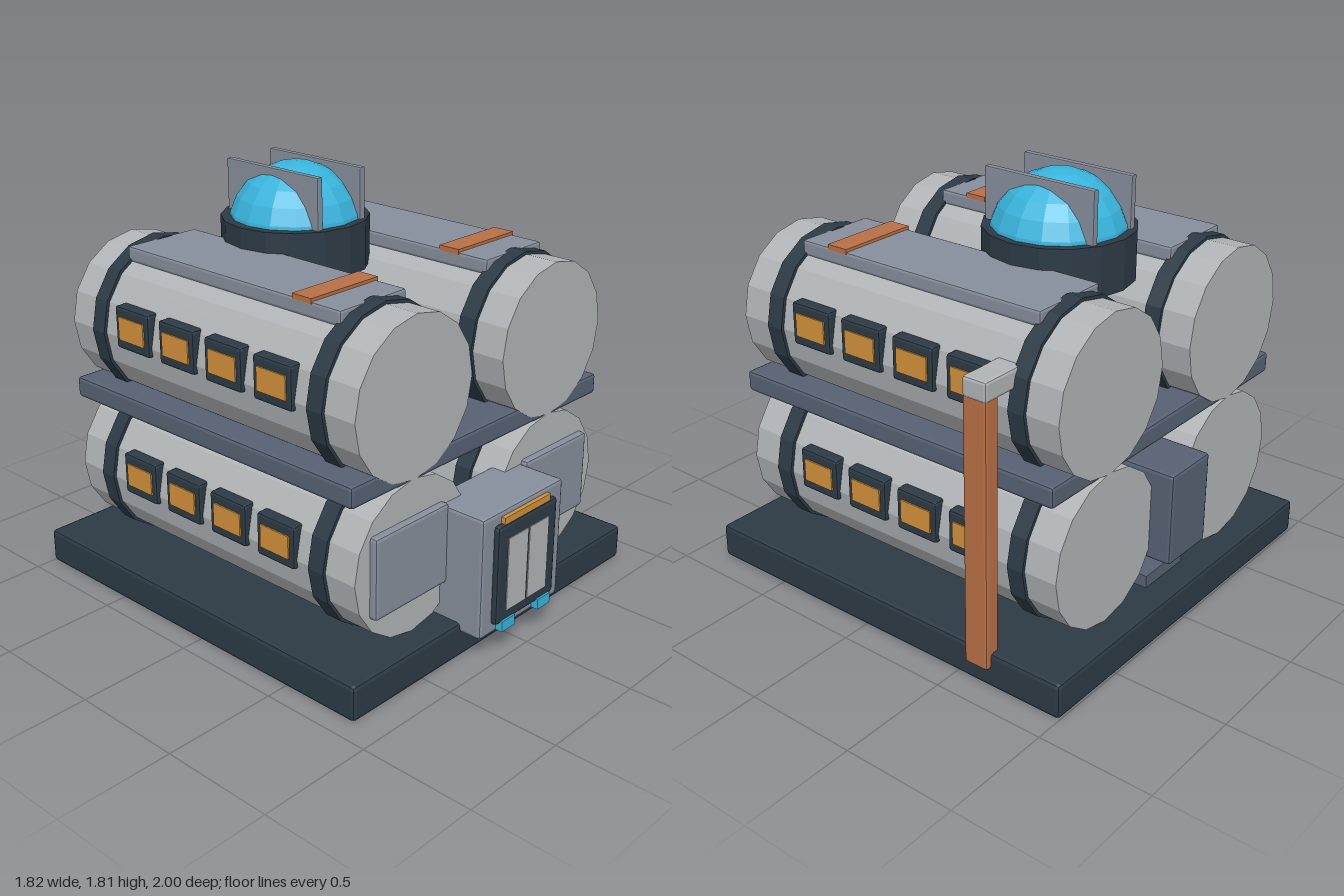
import * as THREE from 'three';
import { RoundedBoxGeometry } from 'three/addons/geometries/RoundedBoxGeometry.js';

const paint = (name, color) => {
  const m = new THREE.MeshStandardMaterial({ color, flatShading: true });
  m.name = name;
  return m;
};

export function createModel() {
  const model = new THREE.Group();
  model.name = 'habitat';
  const lightGrey = paint('lightGrey', 0xb0b4b6);
  const panelGrey = paint('panelGrey', 0x858e9b);
  const slate = paint('slate', 0x566172);
  const dark = paint('darkSteel', 0x2c3a45);
  const copper = paint('copper', 0xb87045);
  const amber = paint('amber', 0xd0903a);
  const cyan = paint('cyan', 0x38b4dc);

  const add = (name, geometry, material, x, y, z) => {
    const mesh = new THREE.Mesh(geometry, material);
    mesh.name = name;
    mesh.position.set(x, y, z);
    model.add(mesh);
    return mesh;
  };
  // Box given by its limits on each axis, with an optional bevel
  const box = (name, material, [x0, x1], [y0, y1], [z0, z1], bevel = 0) => {
    const s = [x1 - x0, y1 - y0, z1 - z0];
    const g = bevel ? new RoundedBoxGeometry(...s, 1, bevel) : new THREE.BoxGeometry(...s);
    return add(name, g, material, (x0 + x1) / 2, (y0 + y1) / 2, (z0 + z1) / 2);
  };
  // Sixteen-sided drum lying along z
  const drum = (name, material, r, x, y, z0, z1) => {
    const g = new THREE.CylinderGeometry(r, r, z1 - z0, 16).rotateX(Math.PI / 2);
    add(name, g, material, x, y, (z0 + z1) / 2);
  };

  const cx = -0.016; // centre line of the building

  // Base and the floor between the storeys
  box('base', dark, [-0.91, 0.88], [0, 0.155], [-1, 0.867], 0.018);
  box('middleDeck', slate, [-0.8, 0.768], [0.813, 0.905], [-0.872, 0.755], 0.015);
  box('floorStrip', slate, [-0.15, 0.12], [0.14, 0.21], [-0.88, 0.72]);

  // Four living modules with bands, roof panels and windows
  for (const y of [0.49, 1.155]) {
    for (const side of [-1, 1]) {
      const x = cx + side * 0.434;
      drum('moduleHull', lightGrey, 0.336, x, y, -0.883, 0.757);
      drum('frontBand', dark, 0.35, x, y, 0.525, 0.605);
      drum('backBand', dark, 0.35, x, y, -0.735, -0.66);
      box('roofPanel', panelGrey, [x - 0.185, x + 0.185], [y + 0.275, y + 0.342], [-0.68, 0.545], 0.012);
      for (let i = 0; i < 4; i++) {
        const z = 0.348 - i * 0.273;
        add('windowFrame', new RoundedBoxGeometry(0.075, 0.185, 0.208, 1, 0.012), dark,
          x + side * 0.314, y + 0.053, z);
        add('windowGlass', new THREE.BoxGeometry(0.008, 0.1, 0.155), amber,
          x + side * 0.354, y + 0.053, z);
      }
      if (y > 1) box('roofStripe', copper, [x - 0.186, x + 0.186], [1.487, 1.51], [0.295, 0.397]);
    }
  }

  // Observation dome with two fins
  add('domeRing', new THREE.CylinderGeometry(0.32, 0.32, 0.215, 16), dark, cx - 0.004, 1.478, -0.3);
  add('dome', new THREE.SphereGeometry(0.29, 16, 6, 0, Math.PI * 2, 0, Math.PI / 2), cyan, cx, 1.525, -0.3);
  for (const side of [-1, 1]) {
    const x = cx + side * 0.128;
    box('domeFin', panelGrey, [x - 0.015, x + 0.015], [1.57, 1.808], [-0.57, -0.03], 0.005);
  }

  // Hub through the middle deck with a lower globe
  add('hubRing', new THREE.CylinderGeometry(0.205, 0.205, 0.165, 16), dark, cx, 0.852, -0.45);
  add('hubCap', new THREE.CylinderGeometry(0.17, 0.17, 0.07, 16), lightGrey, cx, 0.967, -0.45);
  add('hubGlobe', new THREE.SphereGeometry(0.16, 12, 8), cyan, cx, 0.71, -0.45);

  // Entrance block with wings and double door
  box('entrance', panelGrey, [-0.28, 0.245], [0.115, 0.65], [0.68, 0.967], 0.015);
  for (const side of [-1, 1]) {
    const mid = cx + side * 0.47;
    box('entranceWing', panelGrey, [mid - 0.215, mid + 0.215], [0.313, 0.667], [0.7, 0.79], 0.015);
    const door = cx + side * 0.069;
    box('doorLeaf', lightGrey, [door - 0.064, door + 0.064], [0.21, 0.535], [0.991, 0.996]);
    const lamp = cx + side * 0.12;
    box('stepLight', cyan, [lamp - 0.042, lamp + 0.042], [0.125, 0.172], [0.96, 1]);
  }
  box('doorFrame', dark, [-0.21, 0.178], [0.16, 0.6], [0.94, 0.992], 0.015);
  box('doorSign', amber, [-0.167, 0.135], [0.597, 0.627], [0.95, 0.985]);

  // Service box at the back
  box('serviceBox', slate, [-0.152, 0.12], [0.3, 0.712], [-0.985, -0.65], 0.015);

  // Copper duct with its elbow cap
  box('duct', copper, [0.83, 0.905], [0.087, 1.25], [-0.672, -0.56], 0.012);
  box('ductCap', lightGrey, [0.695, 0.908], [1.235, 1.32], [-0.675, -0.562], 0.012);

  return model;
}
